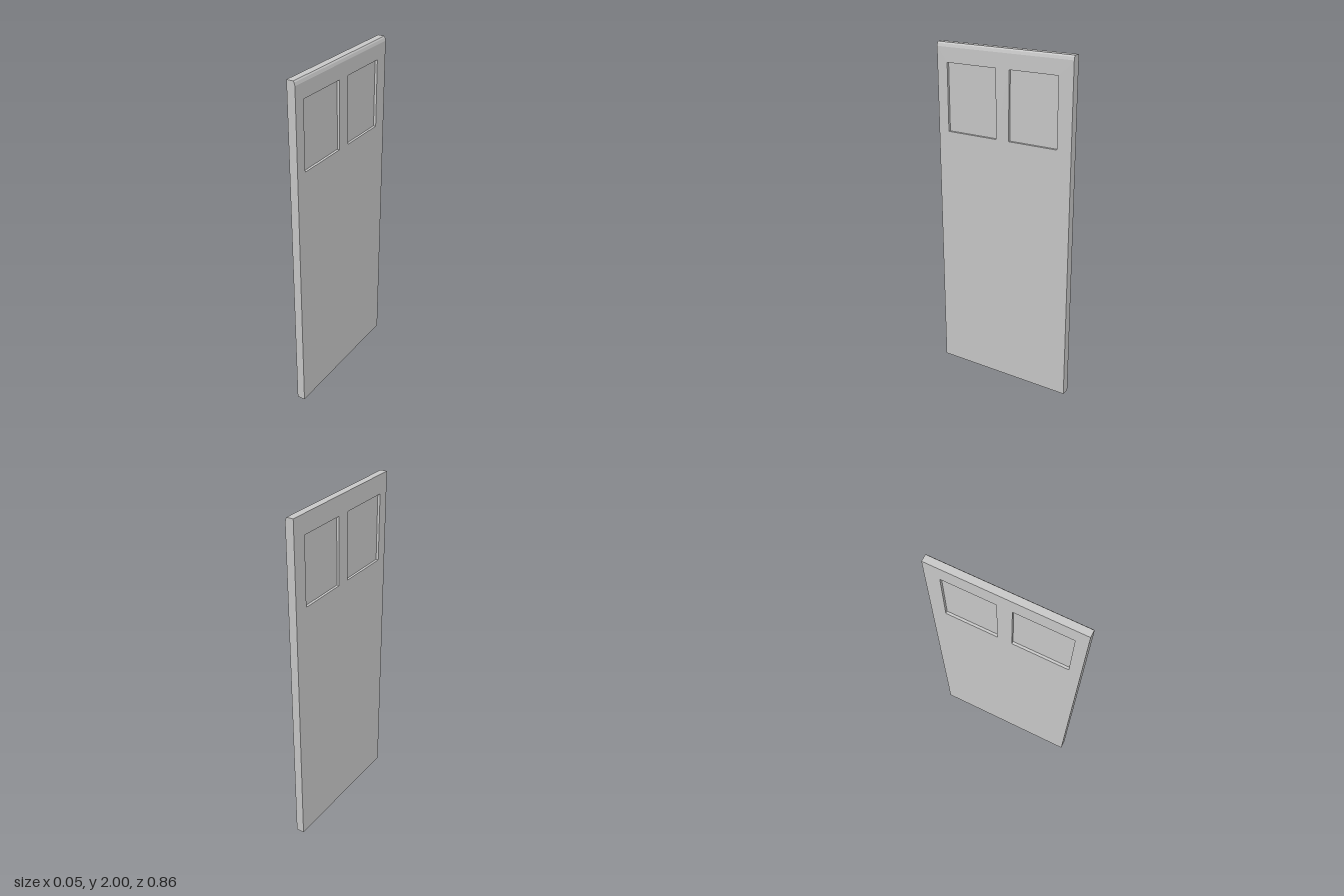
import * as THREE from 'three';

const material = new THREE.MeshStandardMaterial({ color: 0xcccccc, flatShading: true });

// Recessed panes as [zMin, zMax]
const panes = [[0.041, 0.365], [-0.345, -0.043]];
const PANE_BOTTOM = 1.494, PANE_TOP = 1.889, HEIGHT = 2;

function rectangle(path, u0, u1, v0, v1) {
  path.moveTo(u0, v0).lineTo(u1, v0).lineTo(u1, v1).lineTo(u0, v1).closePath();
  return path;
}

export function createModel() {
  const group = new THREE.Group();
  group.name = 'doorPanel';

  // Slab outline with two openings, drawn with u = -z
  const outline = rectangle(new THREE.Shape(), -0.432, 0.432, 0, HEIGHT);
  for (const [z0, z1] of panes) {
    outline.holes.push(rectangle(new THREE.Path(), -z1, -z0, PANE_BOTTOM, PANE_TOP));
  }
  const slabGeometry = new THREE.ExtrudeGeometry(outline, { depth: 3, steps: 3, bevelEnabled: false });

  // Place the four layers through the thickness and ease the top edge on the +x side
  const layerX = [-0.0245, 0.0155, 0.0205, 0.0245];
  const layerDrop = [0, 0, 0.008, 0.025];
  const p = slabGeometry.attributes.position;
  for (let i = 0; i < p.count; i++) {
    const layer = Math.round(p.getZ(i));
    p.setZ(i, layerX[layer]);
    if (p.getY(i) > HEIGHT - 0.01) p.setY(i, HEIGHT - layerDrop[layer]);
  }
  slabGeometry.rotateY(Math.PI / 2);
  slabGeometry.computeVertexNormals();
  const slab = new THREE.Mesh(slabGeometry, material);
  slab.name = 'slab';
  group.add(slab);

  // Thin panes set back from both faces
  panes.forEach(([z0, z1], i) => {
    const pane = new THREE.Mesh(
      new THREE.BoxGeometry(0.02, PANE_TOP - PANE_BOTTOM, z1 - z0), material);
    pane.position.set(0, (PANE_BOTTOM + PANE_TOP) / 2, (z0 + z1) / 2);
    pane.name = i === 0 ? 'frontPane' : 'rearPane';
    group.add(pane);
  });

  return group;
}
